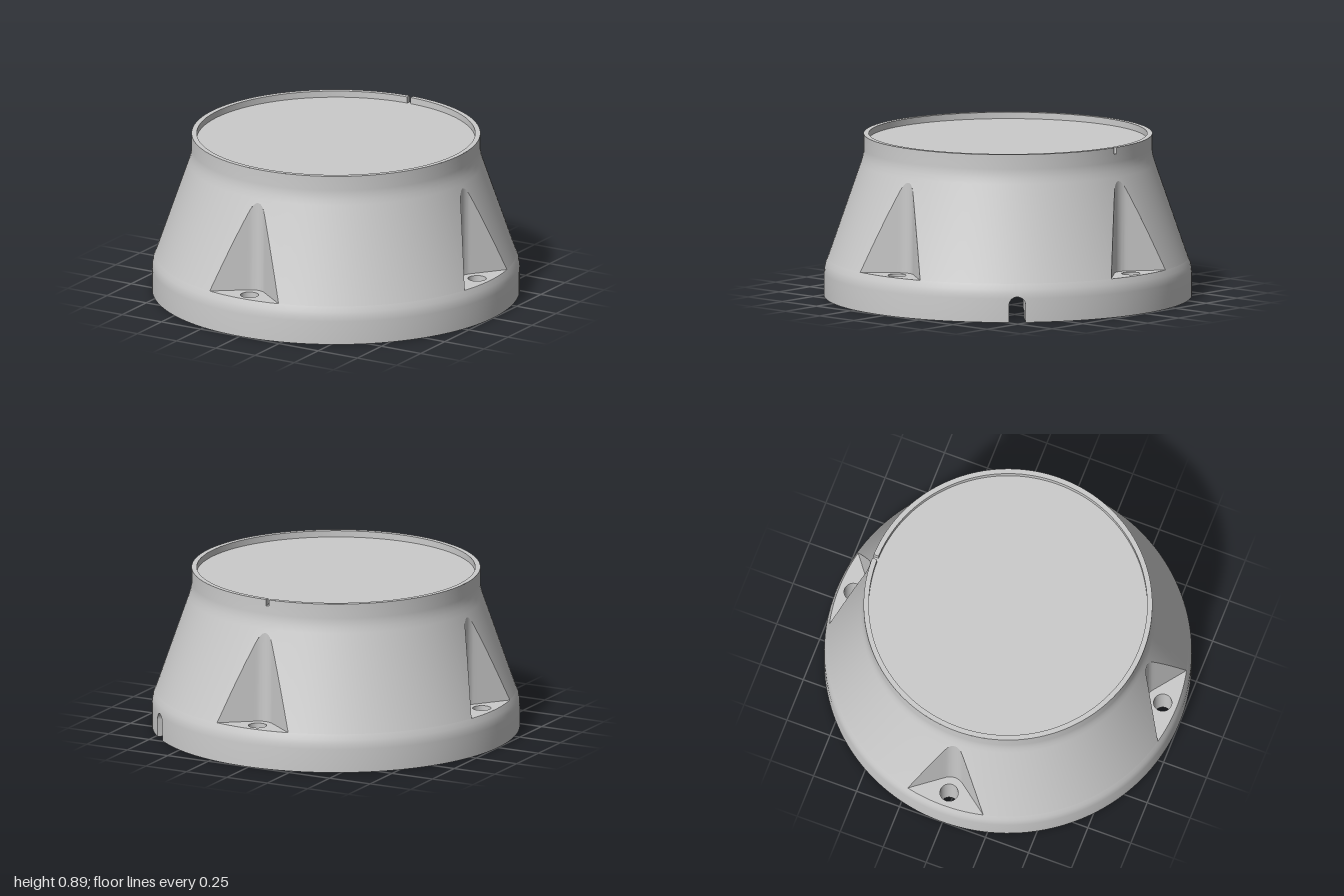
import * as THREE from 'three';
import { toCreasedNormals } from 'three/addons/utils/BufferGeometryUtils.js';

const material = new THREE.MeshStandardMaterial({ color: 0xcccccc, side: THREE.DoubleSide });
const PI = Math.PI, EPS = 1e-5;

// Main sizes; everything is laid out with the cable groove along local +x
const LEDGE = 0.21, R_LEDGE = 0.98, TOP = 0.89, DISC = 0.855, R_RIM = 0.757;
const R_REC = 0.738, REC_H = 0.16;
const GROOVE = 0.045, GROOVE_Y = 0.095;               // groove half width, arch centre
const SLOT_X = 0.83, SLOT_W = 0.21, SLOT_H = 0.04;    // shallow clamp slot
const lowerProfile = [[1, 0], [1, 0.13], [0.998, 0.155], [0.992, 0.18], [R_LEDGE, LEDGE]];
const upperProfile = [[R_LEDGE, LEDGE], [0.965, 0.252], [0.80, 0.73], [0.791, 0.762], [0.786, 0.79], [0.785, 0.81], [0.785, TOP]];

// Plan of a screw pocket: two straight flanks blended by an arc
const K = 0.765, P = 0.787, RHO = 0.08;
const flankAngle = Math.atan(K);
const arcCentre = P + RHO / Math.cos(flankAngle);
const tangent = Math.atan2(RHO * Math.sin(flankAngle), arcCentre - RHO * Math.cos(flankAngle));
const corner = Math.acos(P / R_LEDGE * Math.cos(flankAngle)) - flankAngle;
const pocketCentres = [1, 3, 5, 7].map(i => i * PI / 4);

function pocketRadius(d) {
  const s = Math.abs(Math.sin(d)), c = Math.cos(d);
  if (Math.abs(d) < tangent) return arcCentre * c - Math.sqrt(RHO * RHO - (arcCentre * s) ** 2);
  return P / (c - K * s);
}

const range = (a, b, n) => Array.from({ length: n + 1 }, (_, i) => a + (b - a) * i / n);
const pocketAngles = [...range(-corner, -tangent, 10), ...range(-tangent, tangent, 12).slice(1), ...range(tangent, corner, 10).slice(1)];

// Interpolate the upper profile by height, or invert it by radius
function lerpProfile(value, from, to) {
  for (let i = 1; i < upperProfile.length; i++) {
    const a = upperProfile[i - 1], b = upperProfile[i];
    if (a[from] !== b[from] && (value - a[from]) * (value - b[from]) <= 1e-12)
      return a[to] + (b[to] - a[to]) * (value - a[from]) / (b[from] - a[from]);
  }
  return upperProfile[from === 1 ? upperProfile.length - 1 : 0][to];
}

// Top of a pocket wall at a given angle
function pocketTop(a) {
  for (const c of pocketCentres) {
    if (Math.abs(a - c) < corner) return lerpProfile(Math.min(pocketRadius(a - c), R_LEDGE), 0, 1);
  }
  return LEDGE;
}

// Lower edge of a wall where the groove or slot cuts through it
function cutBottom(a, R, slot) {
  if (Math.cos(a) < 0) return 0;
  const v = Math.abs(R * Math.sin(a));
  if (v < GROOVE) return GROOVE_Y + Math.sqrt(GROOVE ** 2 - v * v);
  return slot && v < SLOT_W ? SLOT_H : 0;
}
const rimTop = a => Math.abs(a - PI / 4) < 0.0135 ? DISC : TOP;

// Column angles, with doubled columns at sharp steps
const step = a => [a - EPS, a + EPS];
const around = extra => [...range(0, 2 * PI, 144), ...extra.map(a => (a + 2 * PI) % (2 * PI))].sort((a, b) => a - b);
const archAngles = R => [...range(0, PI, 16).map(f => Math.asin(GROOVE * Math.cos(f) / R)),
  ...step(Math.asin(GROOVE / R)), ...step(-Math.asin(GROOVE / R))];

function add(group, name, geometry) {
  const mesh = new THREE.Mesh(geometry, material);
  mesh.name = name;
  group.add(mesh);
  return mesh;
}

// Grid from columns of points
function grid(columns) {
  const n = columns[0].length, index = [];
  for (let i = 0; i < columns.length - 1; i++) {
    for (let j = 0; j < n - 1; j++) {
      const a = i * n + j, b = a + n;
      index.push(a, b, b + 1, a, b + 1, a + 1);
    }
  }
  const g = new THREE.BufferGeometry();
  g.setAttribute('position', new THREE.Float32BufferAttribute(columns.flat(2), 3));
  g.setIndex(index);
  return toCreasedNormals(g, 0.6);
}
// Grid around the axis: rows(a) gives [radius, height] pairs
const revolve = (angles, rows) => grid(angles.map(a => rows(a).map(([r, y]) => [r * Math.cos(a), y, -r * Math.sin(a)])));

// Flat horizontal face with round holes [x, y, radius]
function flat(points, y, holes = [], down = false) {
  const shape = new THREE.Shape(points.map(p => new THREE.Vector2(...p)));
  for (const [hx, hy, r] of holes) shape.holes.push(new THREE.Path().absarc(hx, hy, r, 0, 2 * PI, true));
  const g = new THREE.ShapeGeometry(shape, 16);
  g.rotateX(-PI / 2);
  g.translate(0, y, 0);
  if (down) {
    g.index.array.reverse();
    g.computeVertexNormals();
  }
  return g;
}
const polar = (r, a) => [r * Math.cos(a), r * Math.sin(a)];

function bore(group, name, [x, y, r], y0, y1, capped) {
  const g = new THREE.CylinderGeometry(r, r, y1 - y0, 32, 1, true);
  g.translate(x, (y0 + y1) / 2, -y);
  add(group, name, g);
  if (capped) add(group, name + 'End', flat(range(0, 2 * PI, 32).slice(0, -1).map(a => [x + r * Math.cos(a), y + r * Math.sin(a)]), y1, [], true));
}

// Groove tunnel between two end curves
function tunnel(y0, xStart, xEnd) {
  const section = [[GROOVE, y0], ...range(0, PI, 16).map(f => [GROOVE * Math.cos(f), GROOVE_Y + GROOVE * Math.sin(f)]), [-GROOVE, y0]];
  return grid(section.map(([v, y]) => [[xStart(v), y, v], [xEnd(v), y, v]]));
}

export function createModel() {
  const model = new THREE.Group();
  model.name = 'conicalMount';
  model.rotation.y = PI / 4;

  // Outer shell: base band, then the cone and collar above the pockets
  add(model, 'baseBand', revolve(
    around([...archAngles(1), ...pocketCentres.flatMap(c => pocketAngles.map(d => c + d))]),
    a => lowerProfile.map(([r, y]) => [r, Math.max(y, cutBottom(a, 1, false))])));
  const rimSteps = [...step(PI / 4 - 0.0135), ...step(PI / 4 + 0.0135)];
  add(model, 'coneAndCollar', revolve(
    around([...rimSteps, ...pocketCentres.flatMap(c => pocketAngles.map(d => c + d))]),
    a => upperProfile.map(([, py]) => {
      const y = Math.max(pocketTop(a), Math.min(py, rimTop(a)));
      return [lerpProfile(y, 1, 0), y];
    })));

  // Rim with its small index notch, and the recessed top disc
  add(model, 'rim', revolve(around(rimSteps), a => [[0.785, rimTop(a)], [R_RIM, rimTop(a)], [R_RIM, DISC]]));
  add(model, 'topDisc', flat(range(0, 2 * PI, 144).slice(0, -1).map(a => polar(R_RIM, a)), DISC));

  // Four screw pockets
  const holes = [];
  for (const c of pocketCentres) {
    const angles = pocketAngles.map(d => c + d);
    add(model, 'pocketWall', revolve(angles, a => {
      const r = Math.min(pocketRadius(a - c), R_LEDGE);
      return [[r, LEDGE], [r, pocketTop(a)]];
    }));
    const hole = [...polar(0.9, c), 0.05];
    const inner = angles.slice(1, -1).reverse().map(a => polar(pocketRadius(a - c), a));
    add(model, 'pocketFloor', flat([...angles.map(a => polar(R_LEDGE, a)), ...inner], LEDGE, [hole]));
    bore(model, 'screwHole', hole, 0, LEDGE, false);
    holes.push(hole);
  }

  // Two blind holes in the underside
  for (const s of [1, -1]) {
    const hole = [...polar(0.87, s * 1.33), 0.042];
    bore(model, 'blindHole', hole, 0, 0.15, true);
    holes.push(hole);
  }

  // Underside ring, opened by the groove and slot
  const ao = Math.asin(GROOVE / 1), as = Math.asin(SLOT_W / R_REC), ag = Math.asin(GROOVE / R_REC);
  add(model, 'underside', flat([
    ...range(ao, 2 * PI - ao, 144).map(a => polar(1, a)),
    [SLOT_X, -GROOVE], [SLOT_X, -SLOT_W],
    ...range(2 * PI - as, as, 120).map(a => polar(R_REC, a)),
    [SLOT_X, SLOT_W], [SLOT_X, GROOVE],
  ], 0, holes, true));

  // Underside recess
  add(model, 'recessWall', revolve(around([...archAngles(R_REC), ...step(as), ...step(-as)]),
    a => [[R_REC, REC_H], [R_REC, cutBottom(a, R_REC, true)]]));
  add(model, 'recessCeiling', flat(range(0, 2 * PI, 144).slice(0, -1).map(a => polar(R_REC, a)), REC_H, [], true));

  // Cable groove and clamp slot
  const onCircle = R => v => Math.sqrt(R * R - v * v);
  add(model, 'cableGroove', tunnel(0, () => SLOT_X, onCircle(1)));
  add(model, 'cableGrooveInner', tunnel(SLOT_H, onCircle(R_REC), () => SLOT_X));
  for (const s of [1, -1]) {
    const screw = [0.775, s * 0.155, 0.012];
    const arc = range(as, ag, 8).map(a => polar(R_REC, s * a));
    add(model, 'slotCeiling', flat([...arc, [SLOT_X, s * GROOVE], [SLOT_X, s * SLOT_W]], SLOT_H, [screw], true));
    const path = [polar(R_REC, s * as), [SLOT_X, s * SLOT_W], [SLOT_X, s * GROOVE]];
    if (s < 0) path.reverse();
    add(model, 'slotWall', grid(path.map(([x, y]) => [[x, 0, -y], [x, SLOT_H, -y]])));
    bore(model, 'clampScrewHole', screw, SLOT_H, 0.1, true);
  }

  const root = new THREE.Group();
  root.name = 'mount';
  root.add(model);
  return root;
}
